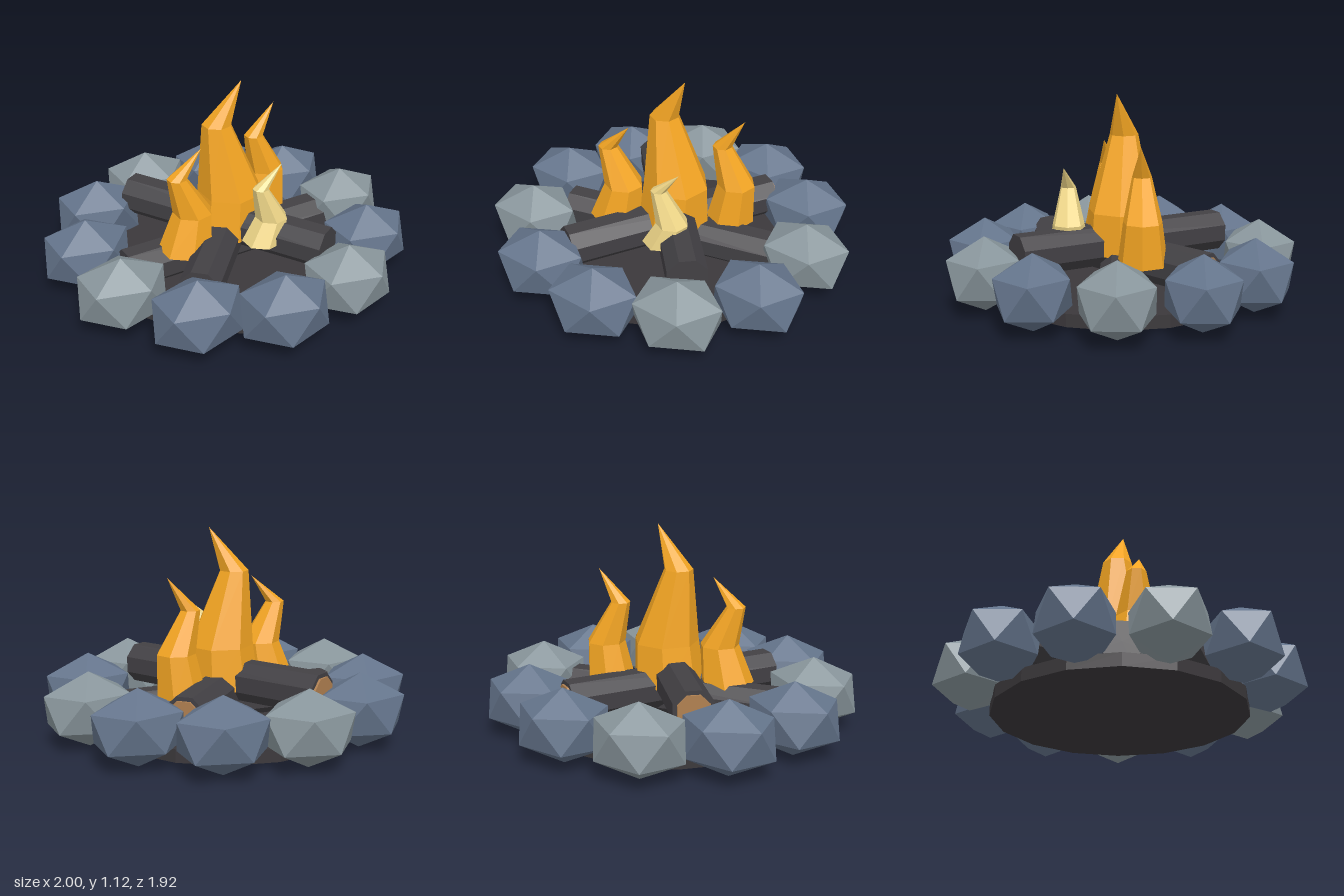
import * as THREE from 'three';

const mat = (color) => new THREE.MeshStandardMaterial({ color, flatShading: true });
const CX = -0.015; // the fire pit sits slightly off the bounding-box centre

function addMesh(parent, name, geometry, material) {
  const mesh = new THREE.Mesh(geometry, material);
  mesh.name = name;
  parent.add(mesh);
  return mesh;
}

// Bent, tapering tongue: rings of [x, y, z, radius], closed at both ends
function flameGeometry(rings, sides = 7) {
  const pos = [];
  const ringPoint = ([x, y, z, r], i) => {
    const a = (i / sides) * Math.PI * 2;
    return [x + r * Math.cos(a), y, z + r * Math.sin(a)];
  };
  for (let i = 0; i < sides; i++) {
    for (let k = 0; k < rings.length - 1; k++) {
      const a = ringPoint(rings[k], i), b = ringPoint(rings[k], i + 1);
      const c = ringPoint(rings[k + 1], i), d = ringPoint(rings[k + 1], i + 1);
      pos.push(...a, ...c, ...b);
      if (rings[k + 1][3] > 0) pos.push(...b, ...c, ...d);
    }
    pos.push(...rings[0].slice(0, 3), ...ringPoint(rings[0], i), ...ringPoint(rings[0], i + 1));
  }
  const g = new THREE.BufferGeometry();
  g.setAttribute('position', new THREE.Float32BufferAttribute(pos, 3));
  g.computeVertexNormals();
  return g;
}

export function createModel() {
  const model = new THREE.Group();
  model.name = 'campfire';

  const blueStone = mat(0x64748b), greyStone = mat(0x88959b);
  const ash = mat(0x3b383b), bark = mat(0x424044), cutWood = mat(0xb08050);
  const orange = mat(0xf5a623), yellow = mat(0xf2d98a);

  // Ash bed
  const bed = addMesh(model, 'ashBed', new THREE.CylinderGeometry(0.68, 0.68, 0.07, 16), ash);
  bed.position.set(CX, 0.048, 0);

  // Ring of stones: point-up icosahedra, stretched along x
  const stoneGeo = new THREE.IcosahedronGeometry(0.223, 0);
  stoneGeo.rotateZ(-Math.atan(2 / (1 + Math.sqrt(5))));
  stoneGeo.scale(1.2, 0.9, 1);
  const stones = new THREE.Group();
  stones.name = 'stoneRing';
  model.add(stones);
  for (let i = 1; i <= 11; i++) {
    const a = (i / 11) * Math.PI * 2;
    const stone = addMesh(stones, 'stone', stoneGeo, i % 3 === 2 ? greyStone : blueStone);
    stone.position.set(CX + 0.776 * Math.cos(a), 0.2, 0.776 * Math.sin(a));
  }

  // Three stacked logs, each with one cut end
  const logGeo = new THREE.CylinderGeometry(0.115, 0.115, 1.24, 8);
  logGeo.rotateY(Math.PI / 8).rotateZ(-Math.PI / 2);
  const capGeo = new THREE.CylinderGeometry(0.092, 0.092, 0.02, 8);
  capGeo.rotateY(Math.PI / 8).rotateZ(-Math.PI / 2);
  const logs = [[0, 0.165], [120, 0.295], [47, 0.23]]; // heading in degrees, height
  for (const [deg, y] of logs) {
    const log = new THREE.Group();
    log.name = 'log';
    addMesh(log, 'bark', logGeo, bark);
    addMesh(log, 'cutEnd', capGeo, cutWood).position.x = 0.622;
    log.rotation.y = THREE.MathUtils.degToRad(deg);
    log.position.set(CX, y, 0);
    model.add(log);
  }

  // Flames: base, belly, neck, tip
  const flames = [
    ['mainFlame', orange, [[0, 0.25, 0, 0.2], [0.015, 0.48, 0, 0.18], [-0.06, 0.885, -0.015, 0.08], [0.07, 1.12, 0.02, 0]]],
    ['leftFlame', orange, [[-0.31, 0.25, 0.08, 0.15], [-0.265, 0.46, 0.08, 0.108], [-0.355, 0.68, 0.08, 0.053], [-0.22, 0.83, 0.1, 0]]],
    ['rightFlame', orange, [[0.29, 0.25, -0.12, 0.135], [0.32, 0.48, -0.12, 0.105], [0.235, 0.705, -0.115, 0.053], [0.36, 0.88, -0.11, 0]]],
    ['smallFlame', yellow, [[0.05, 0.29, 0.28, 0.11], [0.105, 0.42, 0.28, 0.088], [0.03, 0.61, 0.285, 0.042], [0.15, 0.735, 0.3, 0]]],
  ];
  for (const [name, material, rings] of flames) addMesh(model, name, flameGeometry(rings), material);

  return model;
}
